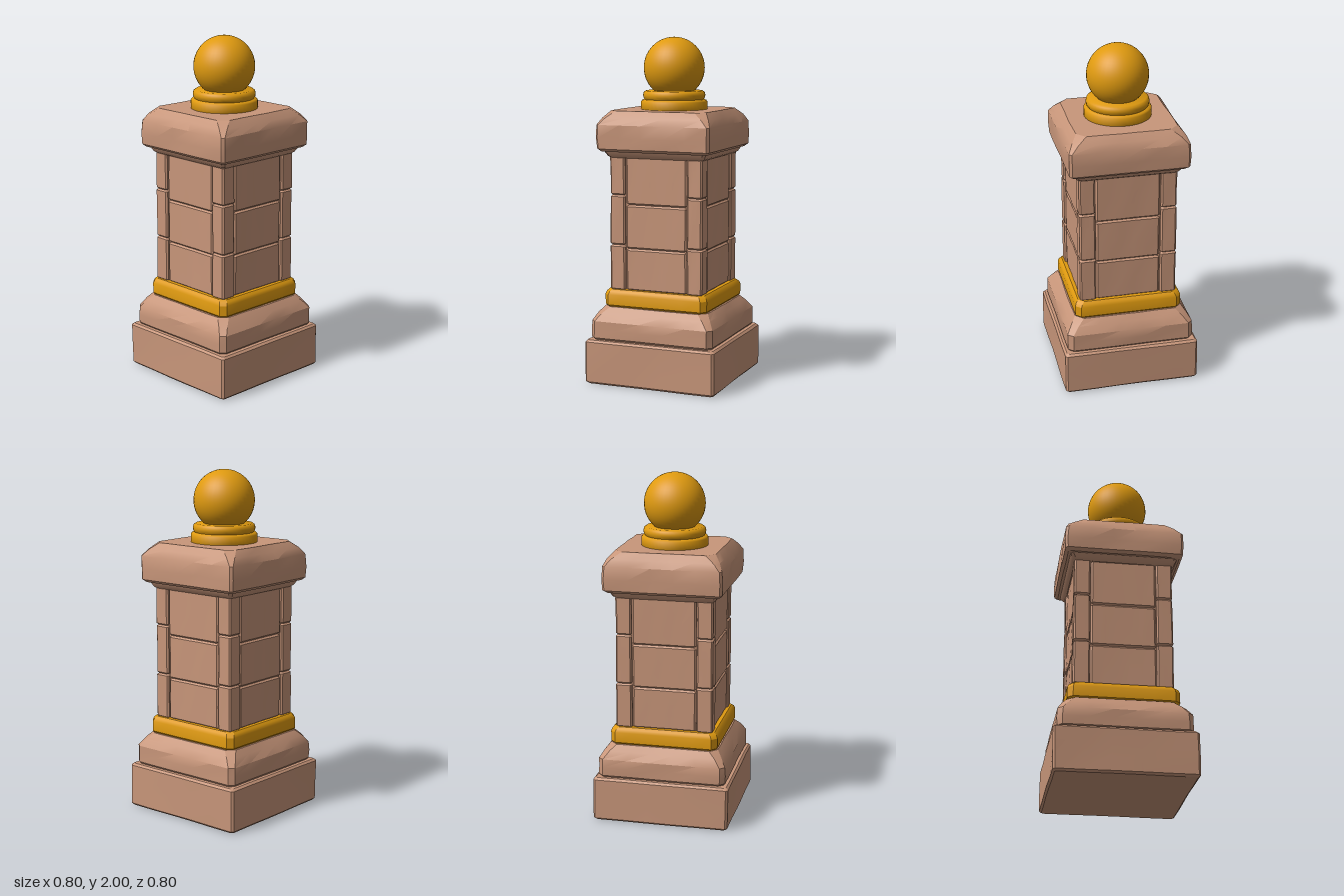
import * as THREE from 'three';
import { toCreasedNormals } from 'three/addons/utils/BufferGeometryUtils.js';

const stone = new THREE.MeshStandardMaterial({ color: 0xc8967a });
const gold = new THREE.MeshStandardMaterial({ color: 0xdf9a10 });

// smooth hewn-stone unevenness, a function of position
const wobble = (x, y, z) =>
  Math.sin(x * 23 + y * 31 + z * 17) * Math.cos(z * 29 - y * 19 + x * 11);

// closed loft of corner-cut rectangles; rings are [halfX, halfZ, y, cornerCut]
function loft(rings, rough = 0, n = 5) {
  const pos = [], index = [];
  const count = 4 * (n + 1);
  for (const [hx, hz, y, c] of rings) {
    const corners = [
      [hx, -hz + c], [hx, hz - c], [hx - c, hz], [-hx + c, hz],
      [-hx, hz - c], [-hx, -hz + c], [-hx + c, -hz], [hx - c, -hz],
    ];
    for (let s = 0; s < 8; s += 2) {
      const [ax, az] = corners[s], [bx, bz] = corners[s + 1];
      for (let i = 0; i <= n; i++) {
        const t = i / n, x = ax + (bx - ax) * t, z = az + (bz - az) * t;
        const k = rough * wobble(x, y, z);
        pos.push(x + k * Math.sign(x), y, z + k * Math.sign(z));
      }
    }
  }
  for (let r = 0; r < rings.length - 1; r++) {
    for (let i = 0; i < count; i++) {
      const j = (i + 1) % count;
      const a = r * count + i, b = r * count + j, c = a + count, d = b + count;
      index.push(a, c, b, b, c, d);
    }
  }
  // end caps
  const low = pos.length / 3, high = low + 1, top = (rings.length - 1) * count;
  pos.push(0, rings[0][2], 0, 0, rings[rings.length - 1][2], 0);
  for (let i = 0; i < count; i++) {
    const j = (i + 1) % count;
    index.push(low, i, j, high, top + j, top + i);
  }
  const g = new THREE.BufferGeometry();
  g.setAttribute('position', new THREE.Float32BufferAttribute(pos, 3));
  g.setIndex(index);
  return toCreasedNormals(g, 0.5);
}

// square loft from [half, y, cornerCut]
const squareLoft = (p, rough) => loft(p.map(([h, y, c]) => [h, h, y, c]), rough);

// block with softened edges
function block(hx, hz, y0, y1, b, rough, cut = b) {
  const m = (y0 + y1) / 2;
  return loft([
    [hx - b, hz - b, y0, cut], [hx, hz, y0 + b, cut], [hx, hz, m, cut],
    [hx, hz, y1 - b, cut], [hx - b, hz - b, y1, cut],
  ], rough);
}

export function createModel() {
  const model = new THREE.Group();
  const add = (name, geometry, material, x = 0, y = 0, z = 0, parent = model) => {
    const mesh = new THREE.Mesh(geometry, material);
    mesh.name = name;
    mesh.position.set(x, y, z);
    parent.add(mesh);
    return mesh;
  };

  // stepped foot
  add('base', block(0.398, 0.398, 0, 0.26, 0.012, 0.003), stone);
  add('plinth', squareLoft([
    [0.36, 0.255, 0.025], [0.374, 0.272, 0.028], [0.374, 0.32, 0.028],
    [0.372, 0.37, 0.028], [0.345, 0.415, 0.035], [0.318, 0.45, 0.045],
  ], 0.003), stone);
  add('goldBand', squareLoft([
    [0.305, 0.447, 0.03], [0.315, 0.46, 0.03], [0.315, 0.52, 0.03],
    [0.308, 0.538, 0.03], [0.295, 0.55, 0.03],
  ], 0), gold);

  // shaft: dark-jointed core, three courses of panels, four corner posts
  const shaft = new THREE.Group();
  shaft.name = 'shaft';
  model.add(shaft);
  add('core', new THREE.BoxGeometry(0.53, 0.79, 0.53), stone, 0, 0.935, 0, shaft);
  const panelJoints = [0.545, 0.79, 1.045, 1.325];
  const postJoints = [0.545, 0.81, 1.1, 1.325];
  for (let i = 0; i < 3; i++) {
    const y0 = panelJoints[i], y1 = panelJoints[i + 1];
    add('frontBackPanel', block(0.187, 0.276, y0, y1, 0.01, 0.002), stone, 0, 0, 0, shaft);
    add('sidePanel', block(0.276, 0.187, y0, y1, 0.01, 0.002), stone, 0, 0, 0, shaft);
    for (const sx of [-1, 1]) for (const sz of [-1, 1]) {
      add('cornerPost', block(0.047, 0.047, postJoints[i], postJoints[i + 1], 0.009, 0.002),
        stone, sx * 0.237, 0, sz * 0.237, shaft);
    }
  }

  // capital
  add('neckMoulding', squareLoft([
    [0.282, 1.315, 0.015], [0.296, 1.325, 0.015], [0.31, 1.35, 0.015], [0.31, 1.37, 0.015],
  ], 0), stone);
  add('cap', squareLoft([
    [0.325, 1.352, 0.012], [0.343, 1.368, 0.014], [0.345, 1.43, 0.014],
    [0.343, 1.505, 0.014], [0.322, 1.545, 0.03], [0.29, 1.584, 0.05],
  ], 0.003), stone);

  // finial
  const collar = [
    [0, 1.575], [0.188, 1.575], [0.193, 1.582], [0.193, 1.628], [0.186, 1.637],
    [0.172, 1.641], [0.178, 1.65], [0.181, 1.666], [0.177, 1.682], [0.165, 1.691], [0, 1.691],
  ].map(([r, y]) => new THREE.Vector2(r, y));
  add('finialCollar', toCreasedNormals(new THREE.LatheGeometry(collar, 48), 0.7), gold);
  add('finialBall', new THREE.SphereGeometry(0.177, 40, 28), gold, 0, 1.823, 0);

  return model;
}
